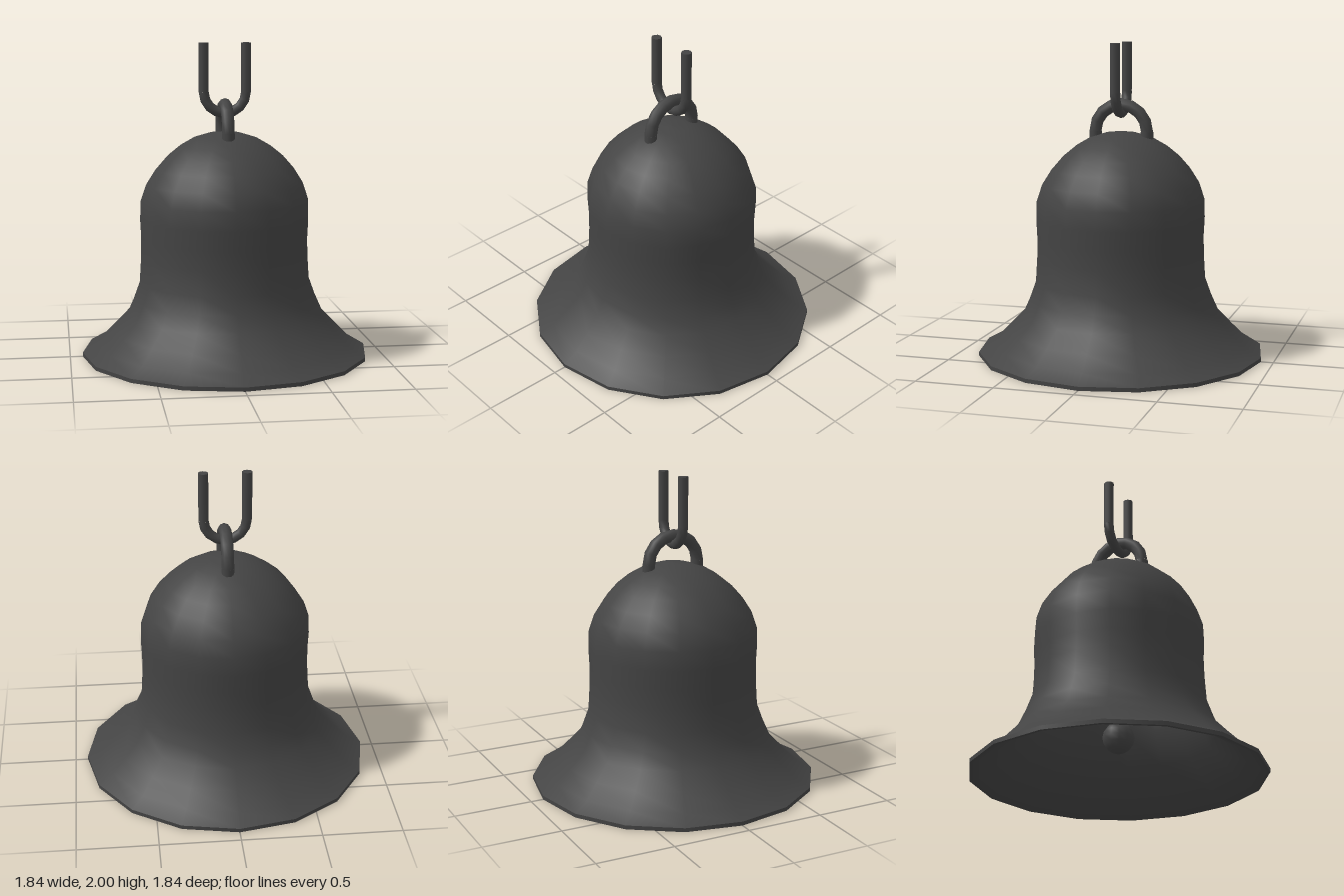
import * as THREE from 'three';

const SIDES = 16;

export function createModel() {
  const iron = new THREE.MeshStandardMaterial({ color: 0x444444 });
  iron.name = 'darkIron';
  const model = new THREE.Group();
  model.name = 'bell';

  const add = (name, geometry, parent = model) => {
    const mesh = new THREE.Mesh(geometry, iron);
    mesh.name = name;
    parent.add(mesh);
    return mesh;
  };
  const lathe = (pts) =>
    new THREE.LatheGeometry(pts.map(([x, y]) => new THREE.Vector2(x, y)), SIDES);

  // Bell wall: flared skirt, slightly waisted body, round dome
  const outer = [
    [0.92, 0.025], [0.82, 0.08], [0.73, 0.17], [0.635, 0.27], [0.59, 0.37], [0.55, 0.48],
    [0.54, 0.64], [0.538, 0.76], [0.544, 0.88], [0.54, 1.0], [0.505, 1.105],
    [0.445, 1.2], [0.375, 1.28], [0.295, 1.345], [0.2, 1.4], [0.1, 1.43], [0, 1.437],
  ];
  const inner = [
    [0, 1.4], [0.19, 1.365], [0.35, 1.255], [0.47, 1.09], [0.505, 0.99],
    [0.505, 0.64], [0.515, 0.47], [0.6, 0.25], [0.79, 0.06], [0.9, 0],
  ];
  add('bellOuterWall', lathe(outer));
  add('bellInnerWall', lathe(inner));
  add('rimUnderside', lathe([[0.9, 0], [0.92, 0]]));
  add('rimEdge', lathe([[0.92, 0], [0.92, 0.025]]));

  // Clapper ball inside the skirt
  add('clapper', new THREE.SphereGeometry(0.1, 12, 8)).position.y = 0.25;

  // Half ring with two straight legs; dir +1 arches upward, -1 hangs like a U
  const halfLink = (name, radius, tube, centreY, legEndY, dir) => {
    const link = new THREE.Group();
    link.name = name;
    link.position.y = centreY;
    const arc = add(name + 'Arc', new THREE.TorusGeometry(radius, tube, 10, 8, Math.PI), link);
    if (dir < 0) arc.rotation.z = Math.PI;
    const length = Math.abs(legEndY - centreY);
    for (const s of [-1, 1]) {
      const leg = add(name + 'Leg', new THREE.CylinderGeometry(tube, tube, length, 10), link);
      leg.position.set(s * radius, (legEndY - centreY) / 2, 0);
    }
    model.add(link);
    return link;
  };

  // Crown loop runs front to back; the chain link hangs through it
  halfLink('crownLoop', 0.17, 0.04, 1.44, 1.39, 1).rotation.y = Math.PI / 2;
  halfLink('chainLink', 0.135, 0.032, 1.69, 2, -1);

  return model;
}
